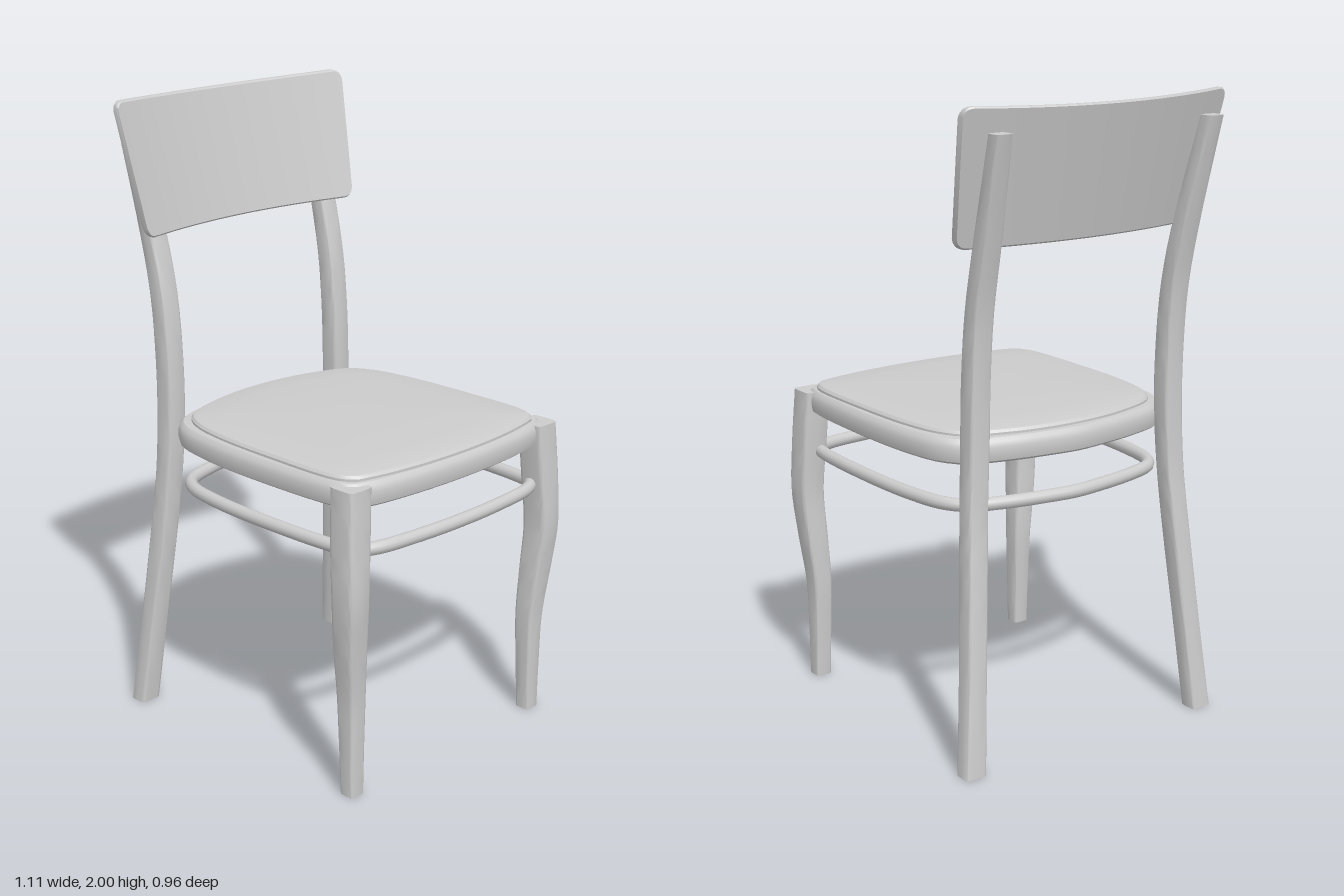
import * as THREE from 'three';
import { toCreasedNormals } from 'three/addons/utils/BufferGeometryUtils.js';

const V = (x, y, z) => new THREE.Vector3(x, y, z);

// Skin a list of equal-length rings; either capped at the ends or wrapped round.
function loft(rings, wrap = false, crease = 0.6) {
  const pos = [];
  const tri = (a, b, c) => pos.push(a, b, c);
  const n = rings[0].length;
  const last = wrap ? rings.length : rings.length - 1;
  for (let i = 0; i < last; i++) {
    const A = rings[i], B = rings[(i + 1) % rings.length];
    for (let j = 0; j < n; j++) {
      const k = (j + 1) % n;
      tri(A[j], A[k], B[k]);
      tri(A[j], B[k], B[j]);
    }
  }
  if (!wrap) {
    const cap = (ring, flip) => {
      const c = ring.reduce((s, p) => s.add(p), V(0, 0, 0)).divideScalar(n);
      for (let j = 0; j < n; j++) {
        const k = (j + 1) % n;
        flip ? tri(c, ring[k], ring[j]) : tri(c, ring[j], ring[k]);
      }
    };
    cap(rings[0], true);
    cap(rings[rings.length - 1], false);
  }
  // Turn the faces outwards if the enclosed volume is negative
  let vol = 0;
  for (let i = 0; i < pos.length; i += 3) vol += pos[i].dot(V(0, 0, 0).crossVectors(pos[i + 1], pos[i + 2]));
  if (vol < 0) pos.reverse();
  const g = new THREE.BufferGeometry().setFromPoints(pos);
  return toCreasedNormals(g, crease);
}

// Closed seat-shaped outline from half its points (front to back), with inset rings
function outline(half) {
  const pts = half.concat(half.slice(1, -1).reverse().map(([x, z]) => [x, -z]));
  const curve = new THREE.CatmullRomCurve3(pts.map(([x, z]) => V(x, 0, z)), true);
  const N = 96;
  return (inset, y) => Array.from({ length: N }, (_, i) => {
    const p = curve.getPointAt(i / N), t = curve.getTangentAt(i / N);
    return V(p.x - t.z * inset, y, p.z + t.x * inset);
  });
}

// Leg with rounded-square sections; stations are [y, xMin, xMax, zMin, zMax]
function leg(stations, side) {
  const steps = 28, n = 24, e = 0.33;
  const a = new THREE.CatmullRomCurve3(stations.map(s => V(s[1], s[0], s[3])));
  const b = new THREE.CatmullRomCurve3(stations.map(s => V(s[2], s[0], s[4])));
  const pw = v => Math.sign(v) * Math.pow(Math.abs(v) < 1e-6 ? 0 : Math.abs(v), e);
  const rings = [];
  for (let i = 0; i <= steps; i++) {
    const p = a.getPoint(i / steps), q = b.getPoint(i / steps);
    rings.push(Array.from({ length: n }, (_, j) => {
      const t = (j / n) * Math.PI * 2;
      return V((p.x + q.x) / 2 + pw(Math.cos(t)) * (q.x - p.x) / 2, (p.y + q.y) / 2,
        side * ((p.z + q.z) / 2 + pw(Math.sin(t)) * (q.z - p.z) / 2));
    }));
  }
  return loft(rings, false, 0.75);
}

// Curved, tilted back panel, skinned from side to side
function backPanel() {
  const r = 0.03, rings = [];
  const section = [[0, 0.2], [0, 0.8], [0.012, 1], [0.988, 1], [1, 0.8], [1, 0.2], [0.988, 0], [0.012, 0]];
  const half = [0, 0.12, 0.24, 0.36, 0.48, 0.6, 0.72, 0.84, 0.935, 0.955, 0.97, 0.983, 0.993, 1];
  const us = half.slice(1).reverse().map(u => -u).concat(half);
  for (const u of us) {
    const d = Math.max(0, Math.abs(u) * 0.46 - (0.46 - r));
    const drop = r - Math.sqrt(Math.max(0, r * r - d * d));
    const lo = 1.585 + drop, hi = 1.99 + 0.01 * u * u - drop;
    rings.push(section.map(([t, s]) => {
      const y = lo + t * (hi - lo), f = (y - 1.585) / 0.415;
      const z = u * (0.442 + 0.038 * f);
      return V(-0.45 - 0.105 * f + 0.3 * z * z + 0.025 * s, y, z);
    }));
  }
  return loft(rings);
}

export function createModel() {
  const model = new THREE.Group();
  model.name = 'chair';
  const grey = new THREE.MeshStandardMaterial({ color: 0xcccccc });
  grey.name = 'light grey';
  const add = (name, geometry) => {
    const m = new THREE.Mesh(geometry, grey);
    m.name = name;
    model.add(m);
  };

  // Seat frame ring
  const frameHalf = [[0.545, 0], [0.537, 0.2], [0.515, 0.36], [0.485, 0.43], [0.42, 0.45], [0.14, 0.465],
    [-0.12, 0.455], [-0.265, 0.425], [-0.335, 0.37], [-0.378, 0.25], [-0.405, 0.1], [-0.415, 0]];
  const frame = outline(frameHalf);
  add('seatFrame', loft([[0.055, 0.925], [0.015, 0.925], [0.004, 0.933], [0, 0.95], [0, 0.975], [0.005, 0.992],
    [0.016, 1.002], [0.055, 1.005]].map(([i, y]) => frame(i, y)), true));

  // Domed seat pad
  const pad = outline([[0.525, 0], [0.515, 0.2], [0.492, 0.34], [0.475, 0.395], [0.43, 0.425], [0.14, 0.437],
    [-0.1, 0.425], [-0.22, 0.4], [-0.3, 0.35], [-0.352, 0.22], [-0.375, 0.1], [-0.38, 0]]);
  const dome = (s, y) => pad(0.02, y).map(p => V(0.07 + (p.x - 0.07) * s, y, p.z * s));
  add('seatPad', loft([pad(0.01, 0.98), pad(0, 0.99), pad(0, 1.01), pad(0.007, 1.018), dome(1, 1.021),
    dome(0.8, 1.027), dome(0.5, 1.032), dome(0.2, 1.034)]));

  // Round stretcher ring below the seat
  const ring = outline(frameHalf.map(([x, z]) => [x > 0.5 ? x + 0.01 : x + 0.01 * (x < 0), z * 0.97]));
  add('stretcherRing', loft(Array.from({ length: 12 }, (_, i) => {
    const t = (i / 12) * Math.PI * 2;
    return ring(0.02 + 0.02 * Math.cos(t), 0.792 + 0.021 * Math.sin(t));
  }), true, 1));

  // Legs, mirrored left and right
  const front = [[0, 0.453, 0.505, 0.385, 0.44], [0.17, 0.446, 0.507, 0.382, 0.442], [0.33, 0.44, 0.511, 0.38, 0.446],
    [0.49, 0.443, 0.525, 0.387, 0.465], [0.65, 0.448, 0.54, 0.395, 0.478], [0.82, 0.438, 0.535, 0.385, 0.474],
    [0.995, 0.43, 0.525, 0.373, 0.464]];
  const back = [[0, -0.492, -0.43, 0.408, 0.482], [0.33, -0.461, -0.395, 0.382, 0.45], [0.6, -0.435, -0.366, 0.36, 0.428],
    [0.8, -0.416, -0.35, 0.345, 0.414], [1, -0.411, -0.342, 0.335, 0.405], [1.2, -0.414, -0.346, 0.333, 0.403],
    [1.4, -0.431, -0.366, 0.333, 0.403], [1.6, -0.473, -0.411, 0.337, 0.405], [1.925, -0.553, -0.503, 0.358, 0.414]];
  for (const [label, side] of [['Left', 1], ['Right', -1]]) {
    // The chair faces +x, so mirroring is across z
    add('frontLeg' + label, leg(front, side));
    add('backLeg' + label, leg(back, side));
  }

  add('backrestPanel', backPanel());
  return model;
}
